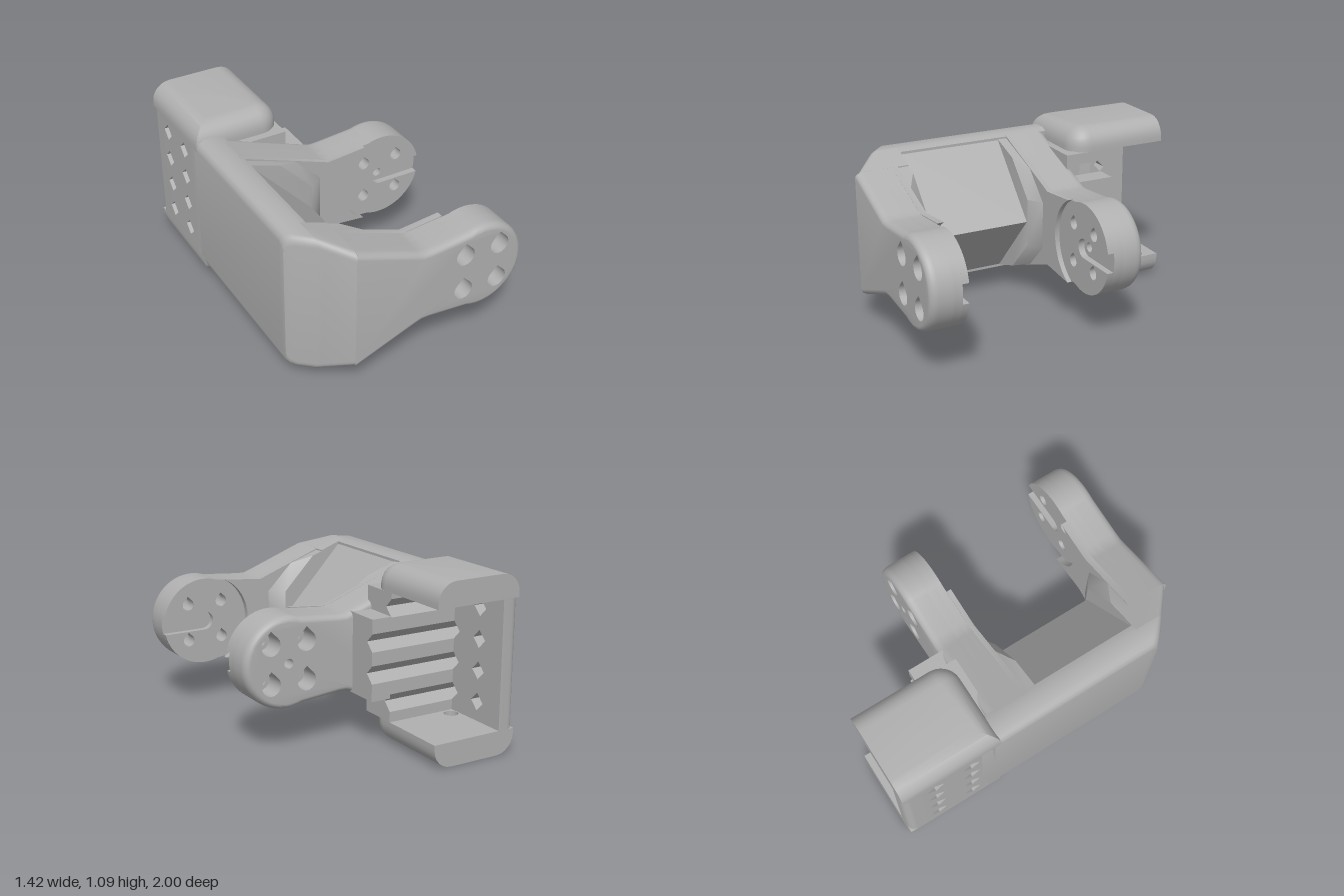
import * as THREE from 'three';
import { toCreasedNormals } from 'three/addons/utils/BufferGeometryUtils.js';

const V = (x, y) => new THREE.Vector2(x, y);
const MID = 0.55; // height of the arms' line of symmetry
const rad = THREE.MathUtils.degToRad;
const flipY = (p) => V(p.x, 2 * MID - p.y);

function arc(cx, cy, r, from, to, n) {
  return Array.from({ length: n + 1 }, (_, i) => {
    const a = rad(from + ((to - from) * i) / n);
    return V(cx + r * Math.cos(a), cy + r * Math.sin(a));
  });
}

// Closed solid through counter-clockwise rings [{pts, w}], with straight clockwise holes
function skin(rings, holes = [], flip = false) {
  const out = [];
  const tri = (a, b, c) => (flip ? [a, c, b] : [a, b, c]).forEach((p) => out.push(...p));
  const at = (p, w) => [p.x, p.y, w];
  const band = (A, wa, B, wb) => A.forEach((p, i) => {
    const j = (i + 1) % A.length;
    tri(at(p, wa), at(A[j], wa), at(B[j], wb));
    tri(at(p, wa), at(B[j], wb), at(B[i], wb));
  });
  for (let k = 1; k < rings.length; k++) band(rings[k - 1].pts, rings[k - 1].w, rings[k].pts, rings[k].w);
  const first = rings[0], last = rings[rings.length - 1];
  holes.forEach((h) => band(h, first.w, h, last.w));
  for (const ring of [first, last]) {
    const all = [...ring.pts, ...holes.flat()];
    const faces = THREE.ShapeUtils.triangulateShape([...ring.pts], holes.map((h) => [...h]));
    for (const [a, b, c] of faces) {
      const [p, q, s] = [a, b, c].map((i) => at(all[i], ring.w));
      if (ring === last) tri(p, q, s); else tri(p, s, q);
    }
  }
  const g = new THREE.BufferGeometry();
  g.setAttribute('position', new THREE.Float32BufferAttribute(out, 3));
  return toCreasedNormals(g, 0.6);
}

// Plate from z0 to z1 whose rim is rounded at z1, except along edges marked sharp
function slab(outline, holes, z0, z1, r = 0, rz = r, sharp = () => false) {
  const n = outline.length, dir = Math.sign(z1 - z0);
  const edges = outline.map((p, i) => {
    const q = outline[(i + 1) % n];
    return sharp(p, q) ? null : V(q.y - p.y, p.x - q.x).normalize();
  });
  const normals = outline.map((_, i) => {
    const a = edges[(i + n - 1) % n], b = edges[i];
    if (!a || !b) return a || b || V(0, 0);
    const m = a.clone().add(b);
    return m.multiplyScalar(2 / m.lengthSq());
  });
  const rings = [{ pts: outline, w: z0 }];
  const steps = r ? 6 : 0;
  for (let k = 0; k <= steps; k++) {
    const t = r ? (k / steps) * Math.PI / 2 : 0;
    const d = r * (1 - Math.cos(t));
    rings.push({
      pts: outline.map((p, i) => p.clone().addScaledVector(normals[i], -d)),
      w: r ? z1 - dir * rz * (1 - Math.sin(t)) : z1,
    });
  }
  return skin(rings, holes, dir < 0);
}

const slopeY = (x) => 1.01 - ((x + 0.57) * 0.22) / 0.6; // tapering top edge of the arms

function armOutline(x0, slot) {
  const up = [...arc(0.43, MID, 0.28, slot ? 12.4 : 4, 110, 18),
    V(0.08, 0.79), V(0.03, 0.79), V(-0.01, 0.803), V(x0, slopeY(x0))];
  const pts = [...up, ...up.map(flipY).reverse()];
  if (slot) pts.push(...arc(0.425, MID, 0.06, 270, 90, 10));
  return pts;
}

function padOutline(x0) {
  return [...arc(0.43, MID, 0.3, 242, 118, 16), V(0.03, 0.79), V(x0, slopeY(x0)),
    V(x0, 2 * MID - slopeY(x0)), V(0.03, 0.31)];
}

const tear = (x, y, r) => [V(x, y + 1.41 * r), ...arc(x, y, r, 135, 405, 14)].reverse();
const tears = (r) => [0.305, 0.54].flatMap((x) => [0.43, 0.67].map((y) => tear(x, y, r)));
const diamond = (z, y, s = 0.055) => [V(z - s, y), V(z, y + s), V(z + s, y), V(z, y - s)];

export function createModel() {
  const group = new THREE.Group();
  const grey = new THREE.MeshStandardMaterial({ color: 0xb0b0b0 });
  grey.name = 'grey plastic';
  const add = (name, geometry) => {
    const m = new THREE.Mesh(geometry, grey);
    m.name = name;
    group.add(m);
  };

  // Arms: counterbored outer layer, drilled middle, slotted inner face and raised pad
  const arms = [
    { name: 'frontArm', x0: -0.4, z: [1, 0.86, 0.81, 0.77, 0.73], extra: [] },
    { name: 'rearArm', x0: -0.55, z: [-0.34, -0.2, -0.14, -0.1, -0.07],
      extra: [arc(0.425, MID, 0.03, 360, 20, 17)] },
  ];
  for (const { name, x0, z, extra } of arms) {
    const cut = (p, q) => p.x === x0 && q.x === x0;
    add(name + 'Outer', slab(armOutline(x0), [...tears(0.062), ...extra], z[1], z[0], 0.035, 0.05, cut));
    add(name + 'Middle', slab(armOutline(x0), [...tears(0.038), ...extra], z[2], z[1]));
    add(name + 'Slot', slab(armOutline(x0, true), tears(0.038), z[3], z[2]));
    add(name + 'Pad', slab(padOutline(x0), [], z[4], z[3]));
  }

  // Side wall and chamfered heel, lofted along x
  const loft = (sections, z0) => {
    const rings = sections.map(([x, h]) => {
      const zf = 0.73 + ((x + 0.71) * 0.27) / 0.31, r = 0.05;
      return { w: x, pts: [V(MID - h, z0), V(MID + h, z0),
        ...arc(MID + h - r, zf - r, r, 0, 90, 5), ...arc(MID - h + r, zf - r, r, 90, 180, 5)] };
    });
    return skin(rings).applyMatrix4(new THREE.Matrix4().makeBasis(
      new THREE.Vector3(0, 1, 0), new THREE.Vector3(0, 0, 1), new THREE.Vector3(1, 0, 0)));
  };
  add('sideWall', loft([[-0.71, 0.4], [-0.705, 0.425], [-0.69, 0.447], [-0.66, 0.46], [-0.57, 0.46], [-0.53, 0.445]], -0.48));
  add('heel', loft([[-0.57, 0.46], [-0.4, 0.398]], 0.66));

  // Ridge between the arms with a flared gusset at each end
  add('ridge', slab([V(-0.55, 1.0), V(-0.55, 0.1), V(-0.13, MID)], [], -0.02, 0.67));
  const flare = (xa, ya, xb, yb) => {
    const up = [V(xb, yb), V(xa, ya), V(-0.55, 0.99)];
    return [...up, ...up.map(flipY).reverse()];
  };
  const small = flare(-0.33, 0.918, -0.12, 0.7), large = flare(-0.2, 0.87, -0.03, 0.7);
  for (const [name, zs] of [['frontGusset', [0.66, 0.73, 0.78]], ['rearGusset', [-0.01, -0.07, -0.12]]]) {
    add(name, skin(zs.map((w, i) => ({ pts: i ? large : small, w })), [], zs[1] < zs[0]));
  }

  // Rear housing: two rounded flanges, each with a screw hole
  const plan = [V(-0.71, 1), V(-0.71, 0.35), ...arc(-0.27, 0.48, 0.13, 270, 360, 8), V(-0.14, 1)];
  const screw = arc(-0.55, 0.61, 0.045, 360, 20, 17);
  const backEdge = (p, q) => p.y === 1 && q.y === 1;
  for (const [name, y0, y1] of [['topFlange', 0.94, 1.09], ['bottomFlange', 0.15, 0]]) {
    add(name, slab(plan, [screw], y0, y1, 0.12, 0.12, backEdge).rotateX(-Math.PI / 2));
  }

  // Housing front block
  const block = [V(-0.71, 0.14), ...arc(-0.22, 0.22, 0.08, 270, 360, 6),
    ...arc(-0.22, 0.87, 0.08, 0, 90, 6), V(-0.71, 0.95)];
  add('housingFront', slab(block, [], -0.47, -0.35, 0.04));

  // Housing plate with two columns of diamond holes
  const rows = [0.27, 0.463, 0.657, 0.85];
  const plate = [V(-1, 0.14), V(-0.47, 0.14), V(-0.47, 0.95), V(-1, 0.95)];
  const diamonds = [-0.55, -0.79].flatMap((z) => rows.map((y) => diamond(z, y)));
  add('housingPlate', slab(plate, diamonds, 0.6, 0.71, 0.05, 0.05,
    (p, q) => !(p.x === -1 && q.x === -1)).rotateY(-Math.PI / 2));

  // Toothed wall inside the housing, stepping out to the arm
  const teeth = (yLow, yHigh, notches, x0, x1) => {
    const pts = [V(-0.55, yLow), V(-0.3, yLow), V(-0.3, yHigh), V(-0.55, yHigh)];
    for (const y of [...notches].reverse()) {
      pts.push(V(-0.55, y + 0.055), V(-0.495, y), V(-0.55, y - 0.055));
    }
    return slab(pts, [], -x1, -x0).rotateY(-Math.PI / 2);
  };
  add('toothedWall', teeth(0.15, 0.94, rows, -0.6, -0.14));
  add('toothedStep', teeth(0.3, 0.8, rows.slice(1, 3), -0.14, -0.01));

  return group;
}
